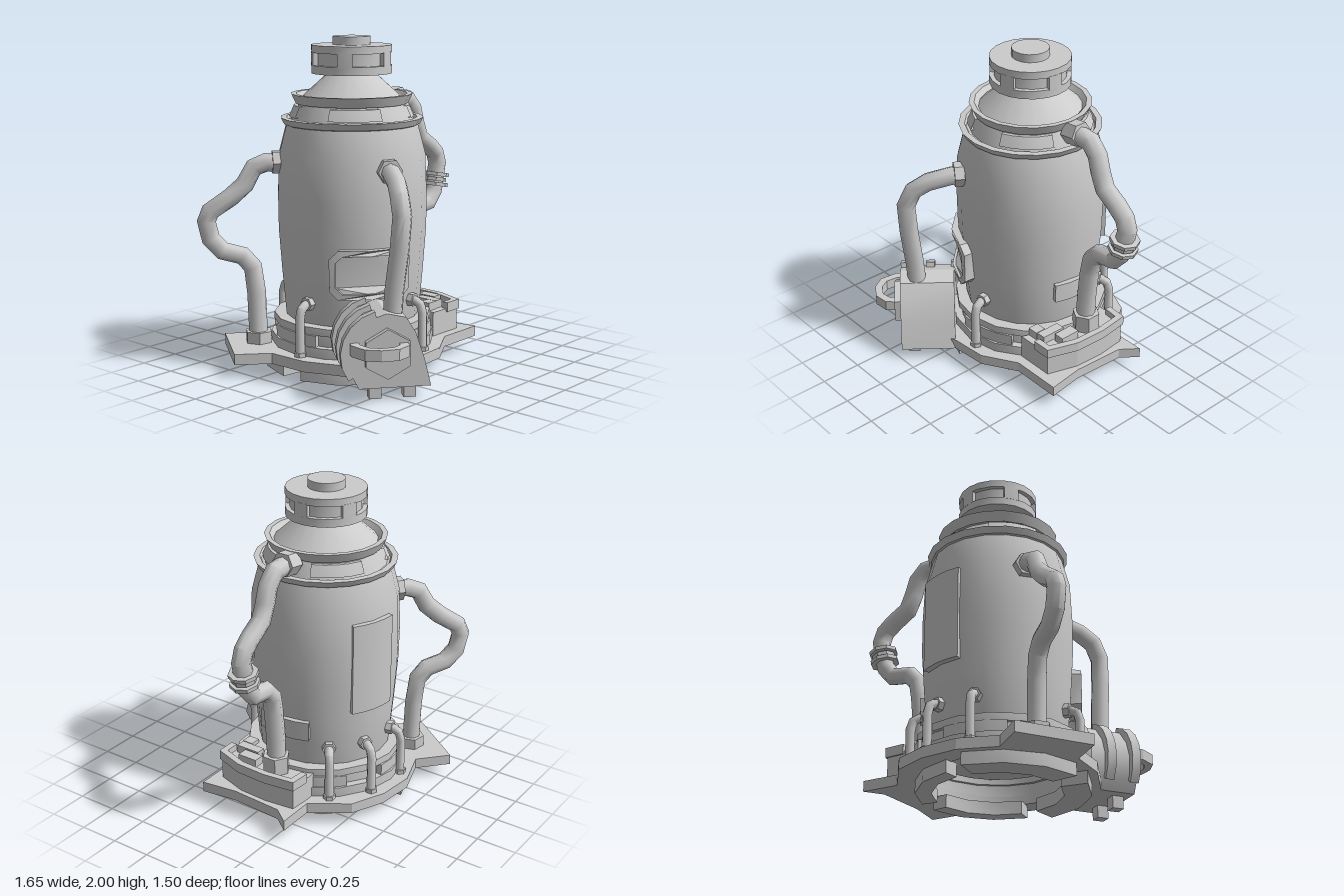
import * as THREE from 'three';
import { toCreasedNormals } from 'three/addons/utils/BufferGeometryUtils.js';

const mat = new THREE.MeshStandardMaterial({ color: 0xcccccc, side: THREE.DoubleSide });
const AXIS = [-0.09, 0, -0.09]; // centre line of the tank
const deg = Math.PI / 180;

function add(parent, name, geo, crease = 0.6) {
  const mesh = new THREE.Mesh(toCreasedNormals(geo, crease), mat);
  mesh.name = name;
  parent.add(mesh);
  return mesh;
}
function group(parent, name, rotY = 0) {
  const g = new THREE.Group();
  g.name = name;
  g.position.set(...AXIS);
  g.rotation.y = rotY;
  parent.add(g);
  return g;
}
const vectors = pts => pts.map(p => new THREE.Vector2(...p));
const shapeOf = pts => new THREE.Shape(vectors(pts));
const extrude = (shape, depth) => new THREE.ExtrudeGeometry(shape, { depth, bevelEnabled: false, curveSegments: 8 });
// extrudes a plan drawn in x, z between two heights
const plan = (shape, y0, y1) => extrude(shape, y1 - y0).rotateX(Math.PI / 2).translate(0, y1, 0);
// part of a ring, angles in degrees from +x
function sector(r0, r1, a0, a1, n = 4) {
  const pts = [];
  for (let i = 0; i <= n; i++) pts.push([r1, a0 + (a1 - a0) * i / n]);
  for (let i = n; i >= 0; i--) pts.push([r0, a0 + (a1 - a0) * i / n]);
  return shapeOf(pts.map(([r, a]) => [r * Math.cos(a * deg), r * Math.sin(a * deg)]));
}
// eight-sided tube with one ring of vertices at every path point
function pipe(parent, name, pts, r) {
  const curve = new THREE.CatmullRomCurve3(pts.map(p => new THREE.Vector3(...p)), false, 'centripetal');
  curve.getPointAt = curve.getPoint;
  curve.getTangentAt = curve.getTangent;
  return add(parent, name, new THREE.TubeGeometry(curve, pts.length - 1, r, 8), 0.9);
}
// short cylinder centred on a point and aligned with a direction
function fitting(parent, name, at, dir, r, h, sides = 6) {
  const m = add(parent, name, new THREE.CylinderGeometry(r, r, h, sides), 0.5);
  m.position.set(...at);
  m.quaternion.setFromUnitVectors(new THREE.Vector3(0, 1, 0), new THREE.Vector3(...dir).normalize());
  return m;
}
function box(parent, name, size, at) {
  const m = add(parent, name, new THREE.BoxGeometry(...size), 0.1);
  m.position.set(...at);
  return m;
}

function buildTank(root) {
  const g = group(root, 'tank');
  const profile = [[0, 0.22], [0.38, 0.22], [0.4, 0.28], [0.412, 0.33], [0.435, 0.6], [0.453, 0.85], [0.455, 1.05],
    [0.445, 1.3], [0.4, 1.475], [0.412, 1.48], [0.432, 1.518], [0.395, 1.52], [0.385, 1.5], [0.37, 1.5], [0.325, 1.6],
    [0.34, 1.602], [0.367, 1.66], [0.335, 1.66], [0.31, 1.63], [0.14, 1.785]];
  add(g, 'tankShell', new THREE.LatheGeometry(vectors(profile), 20));

  // slotted head and its cap
  add(g, 'headBottom', new THREE.CylinderGeometry(0.243, 0.243, 0.05, 20).translate(0, 1.805, 0));
  add(g, 'headCore', new THREE.CylinderGeometry(0.215, 0.215, 0.09, 20).translate(0, 1.87, 0));
  add(g, 'headTop', new THREE.CylinderGeometry(0.243, 0.243, 0.045, 20).translate(0, 1.927, 0));
  for (let i = 0; i < 5; i++) {
    add(g, 'headPost', plan(sector(0.2, 0.243, i * 72 + 65, i * 72 + 87, 2), 1.825, 1.91));
  }
  add(g, 'cap', new THREE.CylinderGeometry(0.113, 0.113, 0.06, 16).translate(0, 1.97, 0));

  // sloping plates between the shoulder rings, tall back panel and side box
  const plate = vectors([[0.34, 1.525], [0.378, 1.525], [0.348, 1.592], [0.31, 1.592]]);
  for (let i = 0; i < 4; i++) {
    add(g, 'shoulderPlate', new THREE.LatheGeometry(plate, 4, (i * 90 + 20) * deg, 50 * deg));
  }
  add(g, 'backPanel', plan(sector(0.42, 0.475, -90, -54), 0.68, 1.25));
  add(g, 'sideBox', plan(sector(0.4, 0.465, -22, 22), 0.5, 0.62));

  // framed window bent around the tank
  const bend = geo => {
    const p = geo.attributes.position;
    for (let i = 0; i < p.count; i++) {
      const a = 125 * deg - p.getX(i) / 0.46, r = p.getZ(i);
      p.setXYZ(i, r * Math.cos(a), p.getY(i), r * Math.sin(a));
    }
    return geo.translate(0, 0.645, 0);
  };
  const octagon = (w, h, c) => [[-w, -h + c], [-w + c, -h], [0, -h], [w - c, -h], [w, -h + c],
    [w, h - c], [w - c, h], [0, h], [-w + c, h], [-w, h - c]];
  const frame = shapeOf(octagon(0.235, 0.145, 0.05));
  frame.holes.push(shapeOf(octagon(0.2, 0.112, 0.04)));
  add(g, 'windowFrame', bend(extrude(frame, 0.085).translate(0, 0, 0.41)));
  add(g, 'windowPane', bend(extrude(shapeOf(octagon(0.205, 0.117, 0.04)), 0.055).translate(0, 0, 0.425)));

  // stepped collar at the foot of the tank
  for (const [r, r0, y0, y1] of [[0.5, 0.44, 0.13, 0.2], [0.455, 0.42, 0.2, 0.27], [0.48, 0.39, 0.27, 0.315]]) {
    const ring = new THREE.Shape().absarc(0, 0, r, 0, Math.PI * 2);
    ring.holes.push(new THREE.Path().absarc(0, 0, r0, 0, Math.PI * 2));
    add(g, 'collarRing', plan(ring, y0, y1));
  }
  for (const a of [55, 165, 235, 310]) add(g, 'collarPlate', plan(sector(0.44, 0.485, a, a + 45), 0.2, 0.27));

  // four curved feet
  for (let i = 0; i < 4; i++) {
    const r = i === 1 || i === 2 ? 0.54 : 0.475;
    add(g, 'foot', plan(sector(0.38, r, i * 90 + 8, i * 90 + 83, 3), 0, 0.08));
  }

  // small feed pipes around the foot
  for (const [x, z] of [[-0.1, -0.49], [0.19, -0.47], [0.405, -0.31], [-0.51, 0.04], [0.06, 0.49]]) {
    const f = group(root, 'feedPipe', -Math.atan2(z, x));
    pipe(f, 'feedTube', [[0.51, 0.13, 0], [0.51, 0.37, 0], [0.495, 0.42, 0], [0.46, 0.44, 0], [0.4, 0.45, 0]], 0.028);
    fitting(f, 'feedFoot', [0.51, 0.15, 0], [0, 1, 0], 0.038, 0.03);
    fitting(f, 'feedNut', [0.435, 0.443, 0], [1, 0, 0], 0.042, 0.04);
  }
}

function buildBase(root) {
  const outline = shapeOf([[-0.15, -0.67], [0.08, -0.645], [0.29, -0.55], [0.445, -0.325], [0.68, -0.325], [0.6, -0.22],
    [0.58, 0.11], [0.61, 0.34], [0.29, 0.34], [0.08, 0.465], [-0.15, 0.485], [-0.3, 0.55], [-0.52, 0.4],
    [-0.66, 0.035], [-0.665, -0.22], [-0.83, -0.37], [-0.55, -0.75], [-0.38, -0.595]]);
  outline.holes.push(new THREE.Path().absarc(AXIS[0], AXIS[2], 0.44, 0, Math.PI * 2));
  add(root, 'basePlate', plan(outline, 0.075, 0.14), 0.4);

  // side tray with raised rim and small boxes
  const wall = [[0.3, -0.3], [0.42, -0.3], [0.54, -0.29], [0.56, -0.1], [0.55, 0.09], [0.49, 0.28], [0.25, 0.28], [0.36, 0]];
  add(root, 'trayBlock', plan(shapeOf(wall), 0.13, 0.29), 0.2);
  const rim = [[0.42, -0.31], [0.55, -0.3], [0.575, -0.1], [0.565, 0.1], [0.5, 0.29], [0.38, 0.29],
    [0.38, 0.25], [0.47, 0.25], [0.525, 0.09], [0.535, -0.1], [0.515, -0.26], [0.42, -0.27]];
  add(root, 'trayRim', plan(shapeOf(rim), 0.27, 0.33), 0.2);
  for (const [x, z, w, d] of [[0.3, 0.2, 0.07, 0.07], [0.37, 0.15, 0.06, 0.16], [0.45, 0.09, 0.07, 0.13]]) {
    box(root, 'trayBox', [w, 0.06, d], [x, 0.31, z]);
  }
}

function buildPipes(root) {
  // flanged side pipe
  const z = AXIS[2];
  const side = [[0.425, 0.28], [0.43, 0.5], [0.45, 0.7], [0.47, 0.81], [0.53, 0.875], [0.65, 0.89], [0.71, 0.96], [0.725, 1.03],
    [0.75, 1.14], [0.725, 1.21], [0.66, 1.265], [0.56, 1.33], [0.52, 1.42], [0.49, 1.52], [0.43, 1.585], [0.35, 1.59], [0.25, 1.59]];
  pipe(root, 'sidePipe', side.map(([x, y]) => [x, y, z]), 0.058);
  fitting(root, 'sidePipeFoot', [0.43, 0.34, z], [0, 1, 0], 0.085, 0.12);
  fitting(root, 'sidePipeNut', [0.305, 1.595, z], [1, 0.12, 0], 0.075, 0.1);
  for (const k of [-1, 0, 1]) {
    fitting(root, 'sidePipeFlange', [0.727 + k * 0.006, 1.035 + k * 0.032, z], [0.2, 1, 0], k ? 0.09 : 0.075, 0.024, 8);
  }

  // bulging back pipe standing on the base tab
  const back = group(root, 'backPipe', Math.PI - 0.7);
  const bp = [[0.4, 1.25], [0.52, 1.25], [0.595, 1.22], [0.65, 1.12], [0.74, 1.04], [0.86, 0.96], [0.885, 0.9], [0.86, 0.79],
    [0.79, 0.715], [0.67, 0.68], [0.61, 0.61], [0.59, 0.45], [0.58, 0.13]];
  pipe(back, 'backTube', bp.map(([x, y]) => [x, y, 0]), 0.057);
  fitting(back, 'backPipeNut', [0.455, 1.25, 0], [1, 0, 0], 0.075, 0.06);
  fitting(back, 'backPipeFoot', [0.58, 0.17, 0], [0, 1, 0], 0.085, 0.08);

  // front pipe from the tank down into the pump
  pipe(root, 'frontPipe', [[-0.22, 1.25, 0.29], [-0.28, 1.235, 0.385], [-0.36, 1.2, 0.49], [-0.42, 1.14, 0.56], [-0.445, 1.04, 0.6],
    [-0.45, 0.85, 0.585], [-0.455, 0.6, 0.55], [-0.455, 0.4, 0.535]], 0.057);
  fitting(root, 'frontPipeNut', [-0.25, 1.245, 0.34], [-0.4, 0, 0.65], 0.075, 0.06);
}

function buildPump(root) {
  const g = group(root, 'pump', -0.68);
  const section = [[0.315, 0.075], [0.275, 0.24], [0.225, 0.39], [0.17, 0.48], [0.06, 0.505], [-0.05, 0.47], [-0.13, 0.38],
    [-0.165, 0.28], [-0.15, 0.17], [-0.1, 0.075]];
  add(g, 'pumpHousing', extrude(shapeOf(section), 0.34).translate(0, 0, 0.485), 0.5);
  for (const z of [0.45, 0.61, 0.77]) {
    add(g, 'pumpRib', extrude(sector(0.18, 0.255, 103, 215, 6), 0.055).translate(0.05, 0.27, z));
  }
  // hexagonal cover, carrying loop and feet
  fitting(g, 'pumpCover', [0.06, 0.28, 0.835], [0, 0, 1], 0.145, 0.06);
  const loop = [[-0.15, 0.78], [-0.15, 0.87], [-0.09, 0.965], [0, 0.995], [0.1, 0.985], [0.17, 0.92], [0.18, 0.8],
    [0.13, 0.8], [0.12, 0.9], [0.08, 0.94], [0, 0.95], [-0.06, 0.925], [-0.1, 0.86], [-0.1, 0.78]];
  add(g, 'pumpLoop', plan(shapeOf(loop), 0.28, 0.345), 0.4);
  for (const x of [0, 0.2]) box(g, 'pumpFoot', [0.07, 0.08, 0.07], [x, 0.04, 0.75]);
}

export function createModel() {
  const root = new THREE.Group();
  root.name = 'tankMachine';
  buildTank(root);
  buildBase(root);
  buildPipes(root);
  buildPump(root);
  return root;
}
